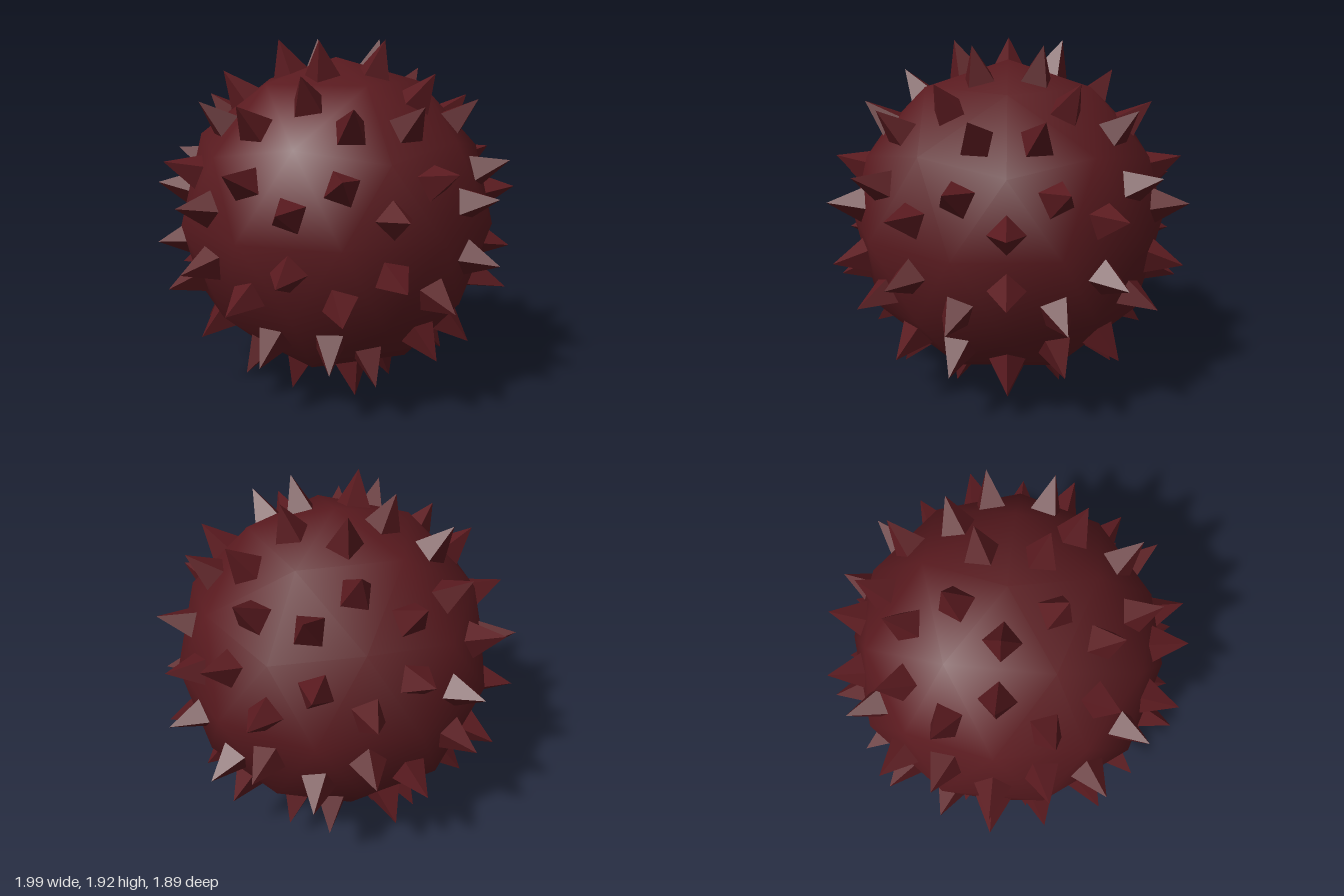
import * as THREE from 'three';

const RADIUS = 0.865;        // ball
const SPIKE_RADIUS = 0.096;  // centre of the square base to its corner
const SPIKE_HEIGHT = 0.19;
const CENTRE_Y = 0.965;

export function createModel() {
  const model = new THREE.Group();
  model.name = 'spikyBall';
  model.position.y = CENTRE_Y;

  const ballMaterial = new THREE.MeshStandardMaterial({ color: 0x5a1a1f });
  const spikeMaterial = new THREE.MeshStandardMaterial({ color: 0x5a1a1f, flatShading: true });

  // Ball: 80-sided smooth icosphere, turned so one pole points straight up
  const ballGeometry = new THREE.IcosahedronGeometry(RADIUS, 1);
  ballGeometry.rotateX(-Math.atan((1 + Math.sqrt(5)) / 2));
  ballGeometry.rotateY(Math.PI / 2);
  const ball = new THREE.Mesh(ballGeometry, ballMaterial);
  ball.name = 'ball';
  model.add(ball);

  // Spikes: a square pyramid standing on every facet of the ball
  const spikeGeometry = new THREE.ConeGeometry(SPIKE_RADIUS, SPIKE_HEIGHT, 4);
  spikeGeometry.translate(0, SPIKE_HEIGHT / 2, 0);
  const spikes = new THREE.Group();
  spikes.name = 'spikes';
  model.add(spikes);

  const position = ballGeometry.getAttribute('position');
  for (let i = 0; i < position.count; i += 3) {
    const corners = [0, 1, 2].map(k => new THREE.Vector3().fromBufferAttribute(position, i + k));
    const facet = new THREE.Triangle(...corners);
    const centre = facet.getMidpoint(new THREE.Vector3());
    const normal = facet.getNormal(new THREE.Vector3());

    // One base corner points to the facet's nearest corner
    corners.sort((a, b) => a.distanceTo(centre) - b.distanceTo(centre));
    const toCorner = corners[0].clone().sub(centre).normalize();
    const side = new THREE.Vector3().crossVectors(normal, toCorner);

    const spike = new THREE.Mesh(spikeGeometry, spikeMaterial);
    spike.name = 'spike';
    spike.position.copy(centre);
    spike.quaternion.setFromRotationMatrix(new THREE.Matrix4().makeBasis(side, normal, toCorner));
    spikes.add(spike);
  }

  const root = new THREE.Group();
  root.add(model);
  return root;
}
